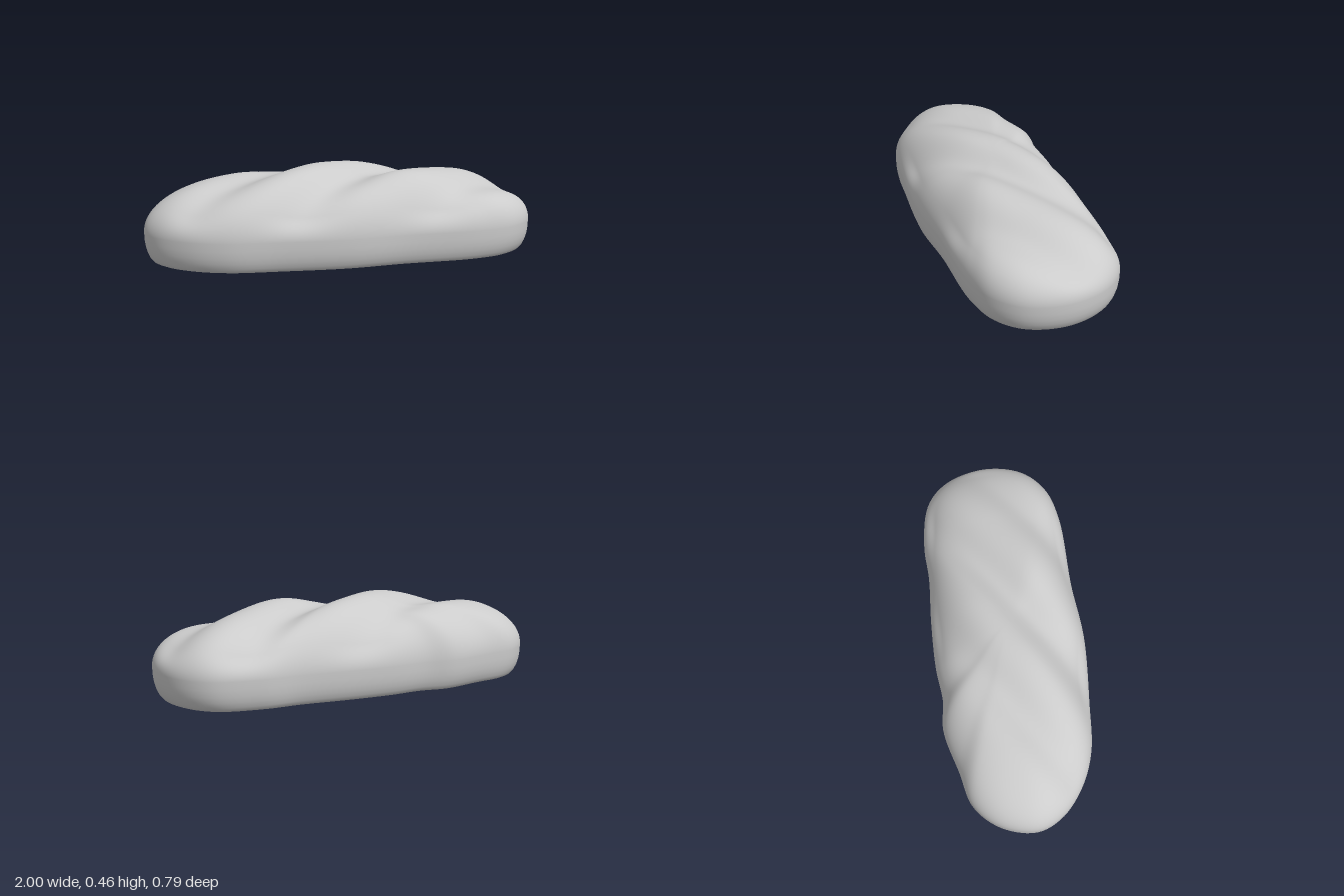
import * as THREE from 'three';

const RIM_Y = 0.155; // height of the widest line
const AXIS_Y = 0.1; // the cuts sink towards this height

// Plan outline [x, z], right end, along the back, left end, along the front
const OUTLINE = [
  [1, 0], [0.95, -0.2], [0.83, -0.325], [0.6, -0.375], [0.4, -0.372], [0.15, -0.39], [-0.1, -0.395],
  [-0.28, -0.38], [-0.43, -0.397], [-0.65, -0.345], [-0.83, -0.3], [-0.95, -0.18],
  [-1, 0], [-0.95, 0.13], [-0.82, 0.25], [-0.65, 0.325], [-0.4, 0.358], [-0.05, 0.388],
  [0.25, 0.37], [0.65, 0.365], [0.83, 0.315], [0.95, 0.2],
];

// Slanted cuts: x at the centre line, slant, relative depth
const CUTS = [
  { x: -0.48, slant: 1.45, depth: 0.14 },
  { x: 0.19, slant: 1.35, depth: 0.2 },
  { x: 0.88, slant: 1.3, depth: 0.18 },
];

// Steeper slope on one side of each cut, longer rise on the other
function cutDepth(x, z) {
  let d = 0;
  for (const c of CUTS) {
    const u = x + c.slant * z - c.x;
    const w = u < 0 ? 0.19 : 0.21;
    d += c.depth * Math.exp(-((u / w) ** 2));
  }
  return d;
}

// Point on the crust: s runs from the crown (0) to the rim (1)
function crustPoint(o, s) {
  const p = 2.25 + o.x * o.x;
  const x = o.x * s;
  let z = o.z * s;
  const crown = 0.468 - 0.033 * THREE.MathUtils.smoothstep(Math.abs(x), 0.1, 0.6);
  let y = RIM_Y + (crown - RIM_Y) * Math.sqrt(Math.max(0, 1 - s ** p));
  const fade = THREE.MathUtils.smoothstep(y, RIM_Y, 0.3);
  const d = cutDepth(x, z) * fade;
  y = AXIS_Y + (y - AXIS_Y) * (1 - d);
  z *= 1 - d * 0.3;
  return [x, y, z];
}

export function createModel() {
  const group = new THREE.Group();
  group.name = 'breadLoaf';
  const material = new THREE.MeshStandardMaterial({ color: 0xcccccc, roughness: 0.8 });

  const curve = new THREE.CatmullRomCurve3(
    OUTLINE.map(([x, z]) => new THREE.Vector3(x, 0, z)), true);
  const cols = 180;
  const rim = curve.getSpacedPoints(cols).slice(0, cols);

  // Crust: rings from the crown to the rim, then a tucked-in lower wall
  const positions = [];
  const index = [];
  const domeRings = 64;
  for (let i = 0; i <= domeRings; i++) {
    const s = Math.sin((i / domeRings) * Math.PI / 2);
    for (const o of rim) positions.push(...crustPoint(o, s));
  }
  const wall = [[0.998, 0.115], [0.988, 0.08], [0.972, 0.052], [0.948, 0.026], [0.918, 0.008], [0.88, 0]];
  for (const [s, y] of wall) {
    for (const o of rim) positions.push(o.x * (0.5 + s / 2), y, o.z * s);
  }
  const rows = domeRings + wall.length;
  for (let i = 0; i < rows; i++) {
    for (let j = 0; j < cols; j++) {
      const k = (j + 1) % cols;
      const a = i * cols + j, b = a + cols, c = (i + 1) * cols + k, d = i * cols + k;
      index.push(a, b, c);
      if (i > 0) index.push(a, c, d);
    }
  }
  const crustGeometry = new THREE.BufferGeometry();
  crustGeometry.setAttribute('position', new THREE.Float32BufferAttribute(positions, 3));
  crustGeometry.setIndex(index);
  crustGeometry.computeVertexNormals();
  const crust = new THREE.Mesh(crustGeometry, material);
  crust.name = 'crust';
  group.add(crust);

  // Flat underside
  const shape = new THREE.Shape(rim.map((o) => new THREE.Vector2(o.x * 0.94, o.z * 0.88)));
  const base = new THREE.Mesh(new THREE.ShapeGeometry(shape).rotateX(Math.PI / 2), material);
  base.name = 'underside';
  group.add(base);

  return group;
}
